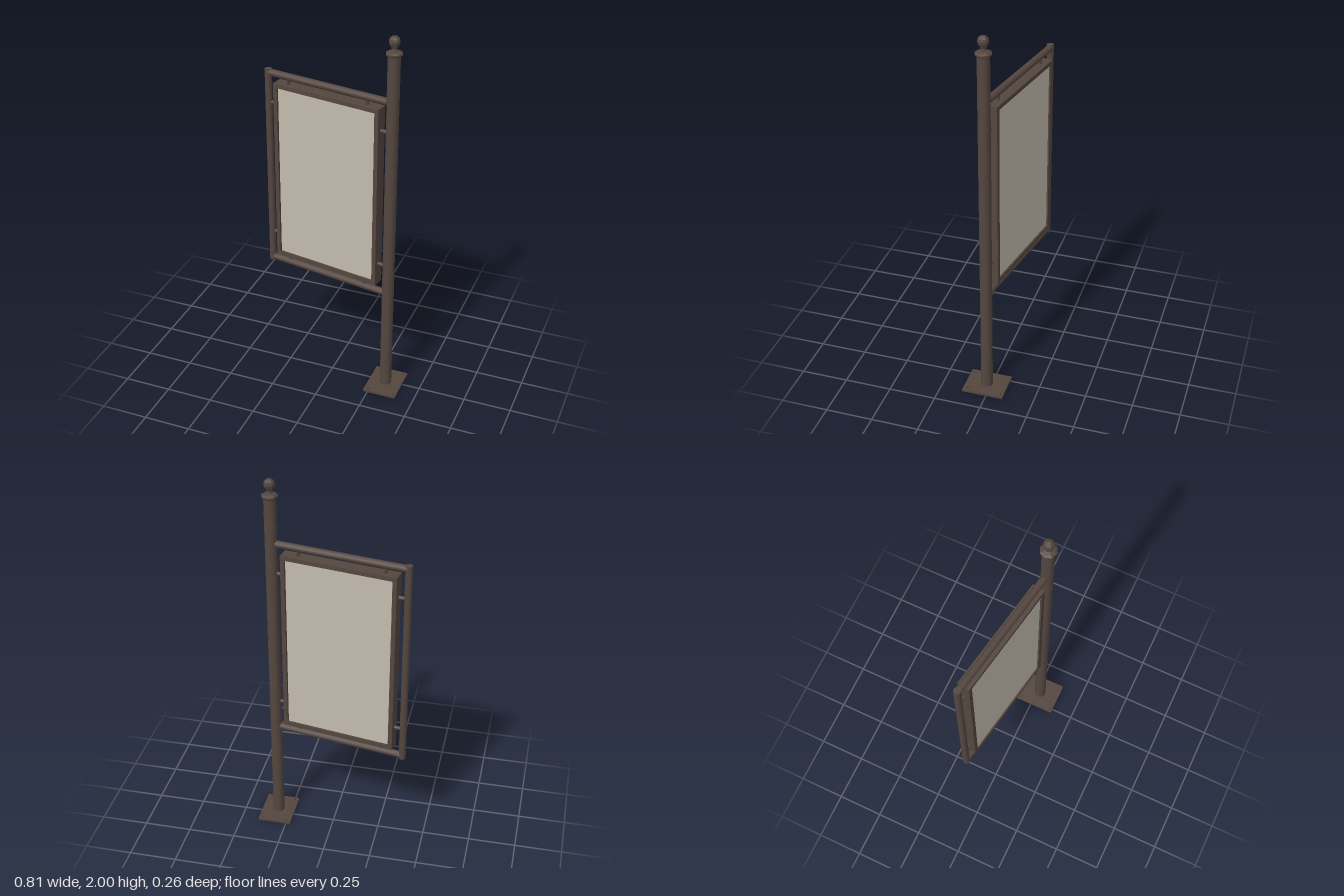
import * as THREE from 'three';

const material = (name, color) => {
  const m = new THREE.MeshStandardMaterial({ color });
  m.name = name;
  return m;
};

export function createModel() {
  const metal = material('dark brown metal', 0x54463f);
  const metalFlat = metal.clone();
  metalFlat.flatShading = true;
  const paper = material('aged paper', 0xc3bbad);

  const model = new THREE.Group();
  model.name = 'signPost';

  const add = (parent, name, geometry, mat, x, y, z) => {
    const mesh = new THREE.Mesh(geometry, mat);
    mesh.name = name;
    mesh.position.set(x, y, z);
    parent.add(mesh);
    return mesh;
  };
  // Round bar between two points in the x-y plane
  const bar = (parent, name, x1, y1, x2, y2, r, sides = 12, z = 0) => {
    const length = Math.hypot(x2 - x1, y2 - y1);
    const mesh = add(parent, name, new THREE.CylinderGeometry(r, r, length, sides), metal,
      (x1 + x2) / 2, (y1 + y2) / 2, z);
    mesh.rotation.z = Math.atan2(y2 - y1, x2 - x1) - Math.PI / 2;
    return mesh;
  };

  // Everything is measured from the pole axis
  const post = new THREE.Group();
  post.name = 'post';
  post.position.set(0.315, 0, 0.021);
  model.add(post);

  // Base plate with four bolts
  add(post, 'basePlate', new THREE.BoxGeometry(0.178, 0.012, 0.22), metal, 0, 0.006, 0);
  for (const sx of [-1, 1]) {
    for (const sz of [-1, 1]) {
      add(post, 'baseBolt', new THREE.CylinderGeometry(0.007, 0.008, 0.008, 6), metalFlat,
        sx * 0.067, 0.016, sz * 0.09);
    }
  }

  // Pole
  bar(post, 'pole', 0, 0.01, 0, 1.91, 0.031, 16);

  // Collar and finial ball
  const collar = [[0, 1.9], [0.034, 1.9], [0.042, 1.907], [0.042, 1.915], [0.033, 1.921],
    [0.016, 1.926], [0.013, 1.938], [0.017, 1.946], [0, 1.95]];
  add(post, 'collar', new THREE.LatheGeometry(collar.map(([r, y]) => new THREE.Vector2(r, y)), 8),
    metalFlat, 0, 0, 0);
  add(post, 'finialBall', new THREE.SphereGeometry(0.029, 8, 6), metalFlat, 0, 1.971, 0);

  // Swung arm carrying the panel
  const arm = new THREE.Group();
  arm.name = 'arm';
  arm.rotation.y = -0.174;
  post.add(arm);

  const outer = -0.711;
  const top = 1.661;
  const bottom = 0.583;
  const tube = 0.0185;
  bar(arm, 'topRail', 0, top, outer, top, tube);
  bar(arm, 'bottomRail', 0, bottom, outer, bottom, tube);
  bar(arm, 'outerUpright', outer, bottom - tube, outer, top + tube, tube);

  // Panel frame: a rectangular ring extruded through its depth
  const panel = new THREE.Group();
  panel.name = 'panel';
  panel.position.set(-0.363, 1.1225, -0.003);
  arm.add(panel);

  const w = 0.603, h = 0.995, depth = 0.066, border = 0.022;
  const rectangle = (path, a, b) => path.moveTo(-a, -b).lineTo(a, -b).lineTo(a, b).lineTo(-a, b).closePath();
  const ring = rectangle(new THREE.Shape(), w / 2, h / 2);
  ring.holes.push(rectangle(new THREE.Path(), w / 2 - border, h / 2 - border));
  const frame = new THREE.ExtrudeGeometry(ring, { depth, bevelEnabled: false });
  add(panel, 'panelFrame', frame, metal, 0, 0, -depth / 2);

  // Backing board with a sheet on each face
  const boardDepth = 0.044;
  add(panel, 'backingBoard', new THREE.BoxGeometry(w - border, h - border, boardDepth), metal, 0, 0, 0);
  for (const side of [1, -1]) {
    add(panel, side > 0 ? 'frontSheet' : 'backSheet',
      new THREE.BoxGeometry(w - 2 * border - 0.006, h - 2 * border - 0.006, 0.004), paper,
      0, 0, side * (boardDepth / 2 + 0.002));
  }

  // Short pins holding the panel inside the arm
  for (const x of [-0.595, -0.142]) {
    bar(arm, 'topPin', x, 1.61, x, top, 0.01, 8);
    bar(arm, 'bottomPin', x, bottom, x, 0.635, 0.01, 8);
  }
  for (const y of [1.5, 0.745]) {
    bar(arm, 'outerPin', outer, y, -0.655, y, 0.01, 8);
    bar(arm, 'innerPin', -0.07, y, 0, y, 0.01, 8);
  }

  return model;
}
